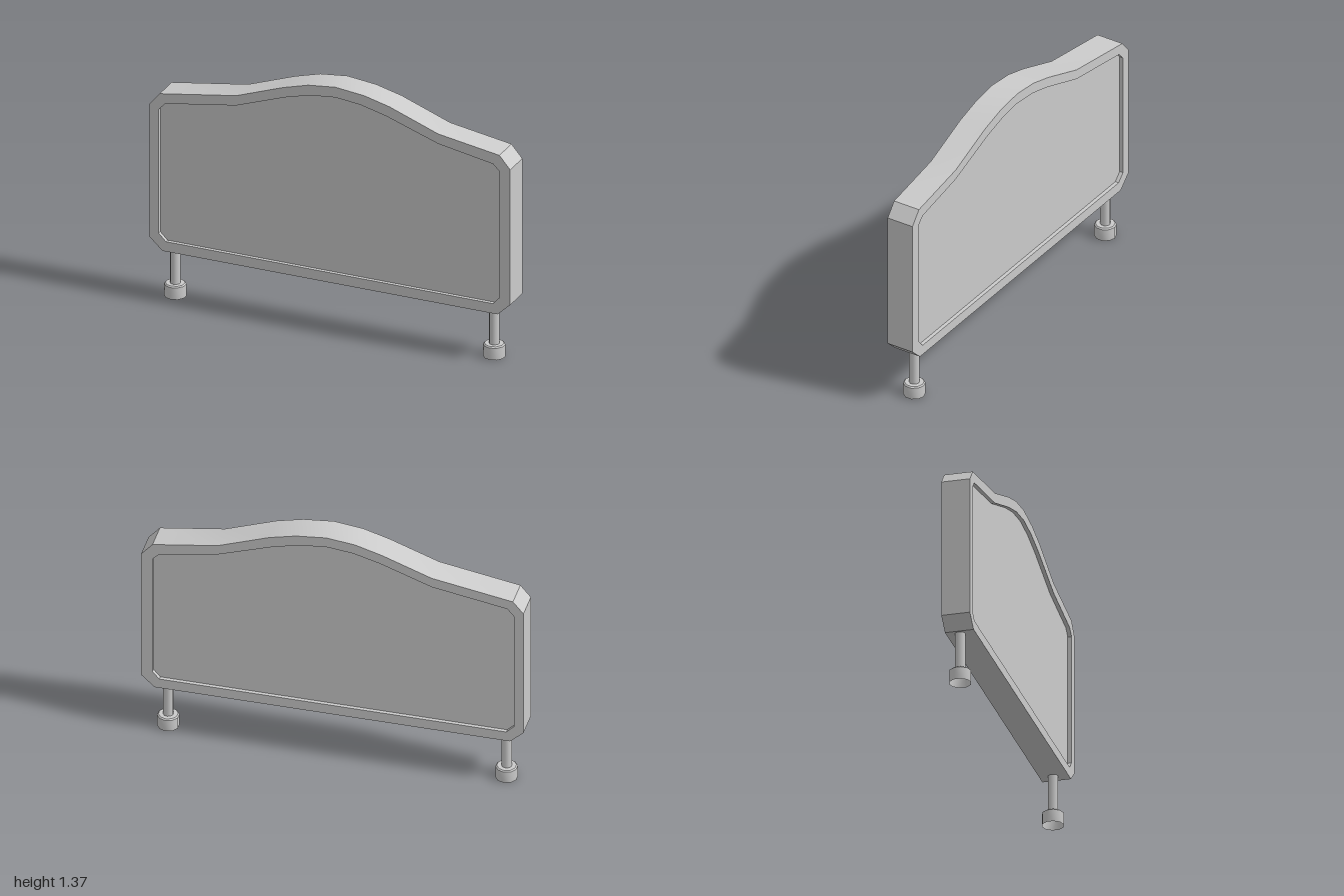
import * as THREE from 'three';
import { toCreasedNormals } from 'three/addons/utils/BufferGeometryUtils.js';

const HALF_DEPTH = 0.075;
const RECESS = 0.02;

const toPoints = (list) => list.map(([x, y]) => new THREE.Vector2(x, y));

// Outer edge of the board: chamfered corners and an arched crest
const OUTER = toPoints([
  [-0.93, 0.275], [0.93, 0.275], [1, 0.34], [1, 1.095], [0.94, 1.165],
  [0.6, 1.22], [0.33, 1.32], [0.19, 1.355], [0.03, 1.372], [-0.12, 1.355],
  [-0.26, 1.315], [-0.52, 1.22], [-0.945, 1.15], [-1, 1.085], [-1, 0.34],
]);

// Inner edge of the raised rim
const INNER = toPoints([
  [-0.91, 0.33], [0.905, 0.33], [0.94, 0.37], [0.94, 1.075], [0.905, 1.11],
  [0.6, 1.165], [0.31, 1.265], [0.17, 1.3], [0.03, 1.315], [-0.11, 1.3],
  [-0.25, 1.262], [-0.52, 1.165], [-0.915, 1.1], [-0.95, 1.06], [-0.95, 0.37],
]);

export function createModel() {
  const model = new THREE.Group();
  const material = new THREE.MeshStandardMaterial({ color: 0xcccccc });
  const openMaterial = new THREE.MeshStandardMaterial({ color: 0xcccccc, side: THREE.DoubleSide });

  const add = (parent, name, geometry, mat = material) => {
    const mesh = new THREE.Mesh(geometry, mat);
    mesh.name = name;
    parent.add(mesh);
    return mesh;
  };

  // Rim running around the board
  const rimShape = new THREE.Shape(OUTER);
  rimShape.holes.push(new THREE.Path(INNER));
  const rim = new THREE.ExtrudeGeometry(rimShape, { depth: 2 * HALF_DEPTH, bevelEnabled: false });
  rim.translate(0, 0, -HALF_DEPTH);
  add(model, 'rim', toCreasedNormals(rim, 0.4));

  // Recessed panels, front and back
  const panelShape = new THREE.Shape(INNER);
  const front = new THREE.ShapeGeometry(panelShape);
  front.translate(0, 0, HALF_DEPTH - RECESS);
  add(model, 'frontPanel', front);
  const back = new THREE.ShapeGeometry(panelShape);
  back.scale(-1, 1, 1).rotateY(Math.PI); // placeholder orientation fixed below
  back.index.array.reverse();
  back.computeVertexNormals();
  back.translate(0, 0, RECESS - HALF_DEPTH);
  add(model, 'backPanel', back);

  // Two posts, each on a round foot that is open underneath
  const footProfile = toPoints([[0.057, 0], [0.057, 0.066], [0.05, 0.072], [0, 0.072]]);
  for (const [side, x] of [['right', -0.894], ['left', 0.876]]) {
    const leg = new THREE.Group();
    leg.name = `${side}Leg`;
    leg.position.set(x, 0, -0.005);
    const post = new THREE.CylinderGeometry(0.027, 0.027, 0.22, 10, 1, true);
    post.translate(0, 0.18, 0);
    add(leg, `${side}Post`, post);
    const foot = new THREE.LatheGeometry(footProfile, 10);
    add(leg, `${side}Foot`, toCreasedNormals(foot, 0.7), openMaterial);
    model.add(leg);
  }

  return model;
}
